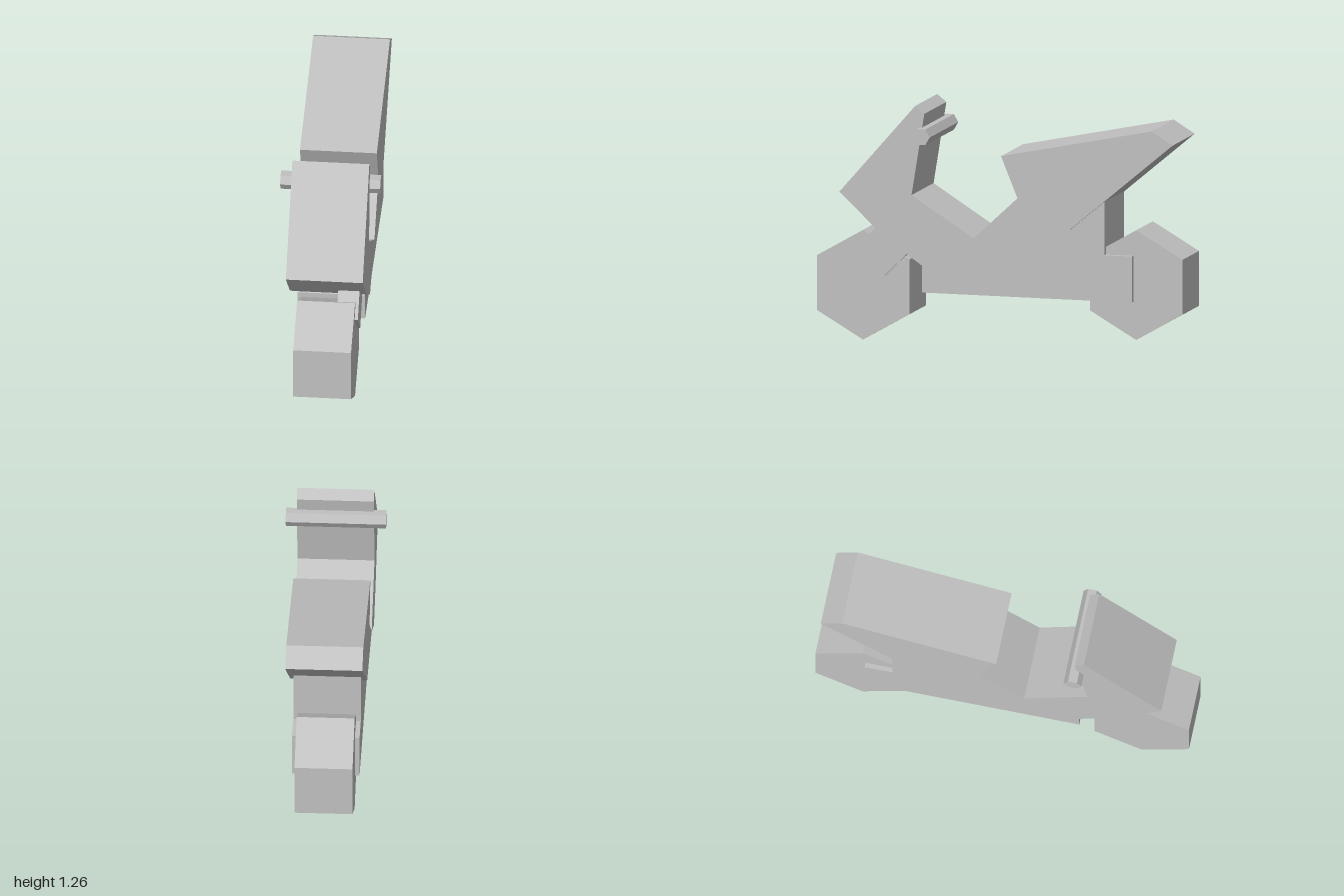
import * as THREE from 'three';

export function createModel() {
  const model = new THREE.Group();
  model.name = 'scooter';
  const grey = new THREE.MeshStandardMaterial({ color: 0xc0c0c0, flatShading: true });
  grey.name = 'light grey';

  function add(name, geometry) {
    const mesh = new THREE.Mesh(geometry, grey);
    mesh.name = name;
    model.add(mesh);
    return mesh;
  }

  // side profile of [z, y] points, extruded across x
  function slab(name, points, x0, x1) {
    const shape = new THREE.Shape(points.map(([z, y]) => new THREE.Vector2(z, y)));
    const geometry = new THREE.ExtrudeGeometry(shape, { depth: x1 - x0, bevelEnabled: false });
    geometry.rotateY(-Math.PI / 2).translate(x1, 0, 0);
    return add(name, geometry);
  }

  // six-sided bar lying along x
  function hexBar(name, radius, x0, x1, y, z, turn) {
    const geometry = new THREE.CylinderGeometry(radius, radius, x1 - x0, 6);
    geometry.rotateZ(Math.PI / 2).rotateX(turn).translate((x0 + x1) / 2, y, z);
    return add(name, geometry);
  }

  // front shield and footwell
  slab('frontShield', [
    [0.45, 1.265], [0.4, 1.225], [0.47, 0.79], [0.13, 0.575],
    [0.41, 0.415], [0.62, 0.56], [0.865, 0.79],
  ], -0.2, 0.205);

  // seat and tail
  slab('seat', [
    [-0.02, 1.02], [-0.845, 1.19], [-0.96, 1.12],
    [-0.39, 0.64], [0.13, 0.575], [-0.11, 0.8],
  ], -0.2, 0.205);

  // lower body, stepped at the rear wheel
  slab('body', [
    [0.42, 0.27], [0.42, 0.415], [0.13, 0.575], [-0.39, 0.64], [-0.58, 0.8],
    [-0.58, 0.515], [-0.73, 0.515], [-0.73, 0.27],
  ], -0.175, 0.18);

  // single-sided fork on the model's left
  slab('fork', [
    [0.78, 0.498], [0.63, 0.347], [0.48, 0.495], [0.64, 0.638],
  ], 0.06, 0.172);

  // wheels
  hexBar('frontWheel', 0.292, -0.15, 0.155, 0.292, 0.75, Math.PI / 2);
  hexBar('rearWheel', 0.292, -0.15, 0.155, 0.36, -0.746, Math.PI / 2);

  // handlebar
  hexBar('handlebar', 0.048, -0.265, 0.262, 1.11, 0.402, 0);

  return model;
}
